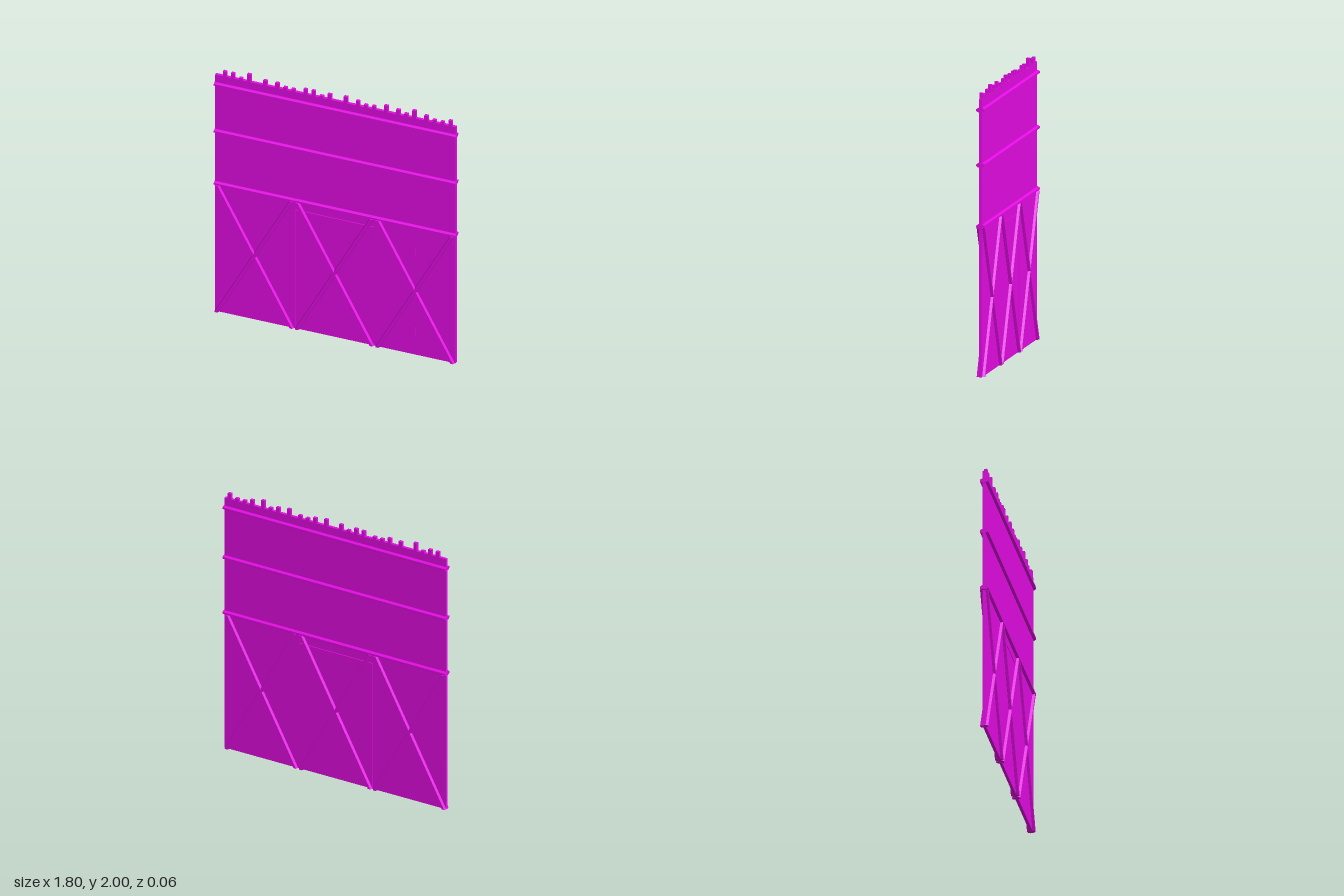
import * as THREE from 'three';

const W = 0.895, WALL_H = 1.94, T = 0.022;
const mat = new THREE.MeshStandardMaterial({ color: 0xe60ce6, flatShading: true });

function add(group, name, geo, x = 0, y = 0, z = 0) {
  const mesh = new THREE.Mesh(geo, mat);
  mesh.name = name;
  mesh.position.set(x, y, z);
  group.add(mesh);
  return mesh;
}

function outline(points) {
  return new THREE.Shape(points.map(([x, y]) => new THREE.Vector2(x, y)));
}

function plate(points, depth) {
  const geo = new THREE.ExtrudeGeometry(outline(points), { depth, bevelEnabled: false });
  return geo.translate(0, 0, -depth / 2);
}

// Flattened octagonal bar running along z: a across x, b across y
function bar(a, b, length) {
  const pts = [[a, b * 0.4], [a * 0.55, b], [-a * 0.55, b], [-a, b * 0.4],
    [-a, -b * 0.4], [-a * 0.55, -b], [a * 0.55, -b], [a, -b * 0.4]];
  return plate(pts, length);
}

export function createModel() {
  const model = new THREE.Group();
  model.name = 'timberWall';

  // Wall with a doorway notch
  const doorL = -0.3, doorR = 0.292, doorTop = 0.976;
  add(model, 'wall', plate([[-W, 0], [doorL, 0], [doorL, doorTop], [doorR, doorTop],
    [doorR, 0], [W, 0], [W, WALL_H], [-W, WALL_H]], T));

  // Door filling the notch, with a hairline gap on top
  add(model, 'door', plate([[doorL + 0.002, 0], [doorR, 0],
    [doorR, doorTop - 0.005], [doorL + 0.002, doorTop - 0.005]], T - 0.002));

  // Narrow tapering strip on the front
  add(model, 'taperedStrip', plate([[0.595, 0.09], [0.599, 0.09], [0.594, 0.97], [0.57, 0.97]], 0.004),
    0, 0, T / 2 - 0.001);

  // Uneven plank ends along the top: column (0.03 apart) and height
  const ends = [[2, 4], [4, 4], [6, 1.5], [8, 6], [12, 3.8], [15, 4], [17, 2], [19, 2],
    [22, 4], [24, 4.2], [26, 1.5], [28, 4.2], [32, 5], [35, 3.8], [37, 2], [39, 2.5],
    [42, 5], [45, 3.8], [47, 2], [49, 6], [52, 4], [54, 2], [56, 2], [58, 4.2]];
  for (const [col, h] of ends) {
    const height = h / 100;
    add(model, 'plankEnd', new THREE.BoxGeometry(0.027, height, T),
      -0.885 + col * 0.03, WALL_H + height / 2, 0);
  }

  // Horizontal rails
  for (const y of [1.052, 1.48, 1.865]) {
    add(model, 'rail', bar(0.029, 0.015, W * 2 + 0.008).rotateY(Math.PI / 2), 0, y, 0);
  }

  // Crossed braces: upright bars sheared sideways so their ends stay level
  const H = 1.04;
  for (const cx of [-0.603, -0.006, 0.594]) {
    for (const side of [-1, 1]) {
      const geo = bar(0.018, 0.029, H).rotateX(Math.PI / 2);
      const p = geo.attributes.position;
      for (let i = 0; i < p.count; i++) p.setX(i, p.getX(i) + side * p.getY(i) * 0.278 / (H / 2));
      geo.computeVertexNormals();
      add(model, 'crossBrace', geo, cx, H / 2, 0);
    }
  }
  return model;
}
